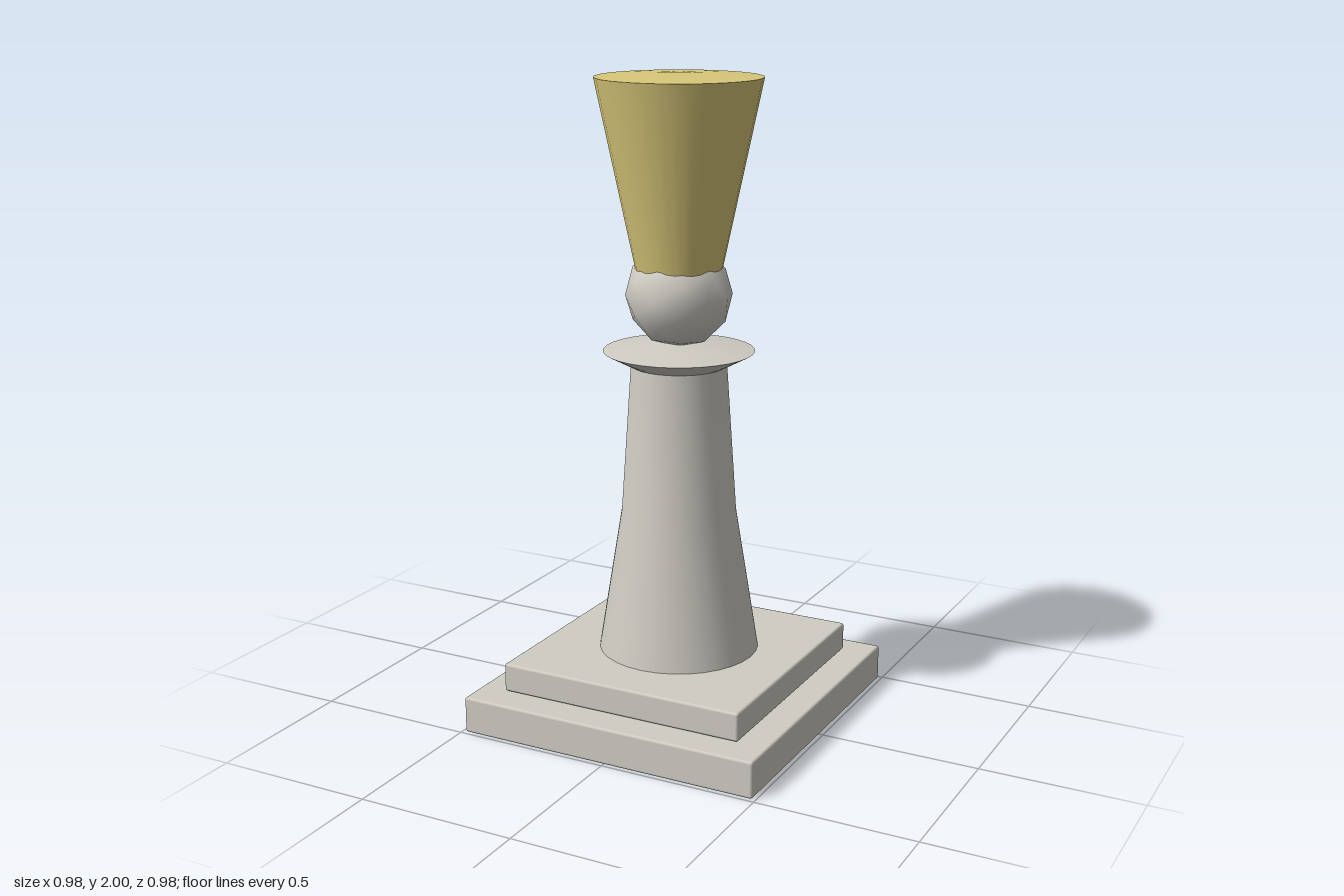
import * as THREE from 'three';
import { RoundedBoxGeometry } from 'three/addons/geometries/RoundedBoxGeometry.js';
import { toCreasedNormals } from 'three/addons/utils/BufferGeometryUtils.js';

const stone = new THREE.MeshStandardMaterial({ color: 0xcfccc3 });
stone.name = 'stone';
const gold = new THREE.MeshStandardMaterial({ color: 0xd8c779 });
gold.name = 'gold';

export function createModel() {
  const model = new THREE.Group();
  model.name = 'trophy';

  const add = (name, geometry, material, y = 0) => {
    const mesh = new THREE.Mesh(geometry, material);
    mesh.name = name;
    mesh.position.y = y;
    model.add(mesh);
  };
  // Turned part from [radius, height] pairs, bottom to top, with sharp rims
  const turned = (points) => toCreasedNormals(
    new THREE.LatheGeometry(points.map(([r, y]) => new THREE.Vector2(r, y)), 32), 0.5);
  // Square slab with slightly softened edges
  const slab = (width, height) => new RoundedBoxGeometry(width, height, width, 2, 0.008);

  // Stepped plinth
  add('lowerPlinth', slab(0.98, 0.115), stone, 0.0575);
  add('upperPlinth', slab(0.8, 0.09), stone, 0.165);

  // Tapered column, flared collar and ball
  add('column', turned([[0, 0.2], [0.252, 0.2], [0.178, 0.66], [0.147, 1.125], [0, 1.125]]), stone);
  add('collar', turned([[0, 1.12], [0.147, 1.12], [0.232, 1.165], [0.07, 1.19], [0, 1.19]]), stone);
  add('ball', new THREE.IcosahedronGeometry(0.163, 1), stone, 1.338);

  // Flared cup with a very slightly raised lid
  add('cup', turned([[0, 1.38], [0.124, 1.38], [0.252, 1.987], [0, 2]]), gold);

  return model;
}
